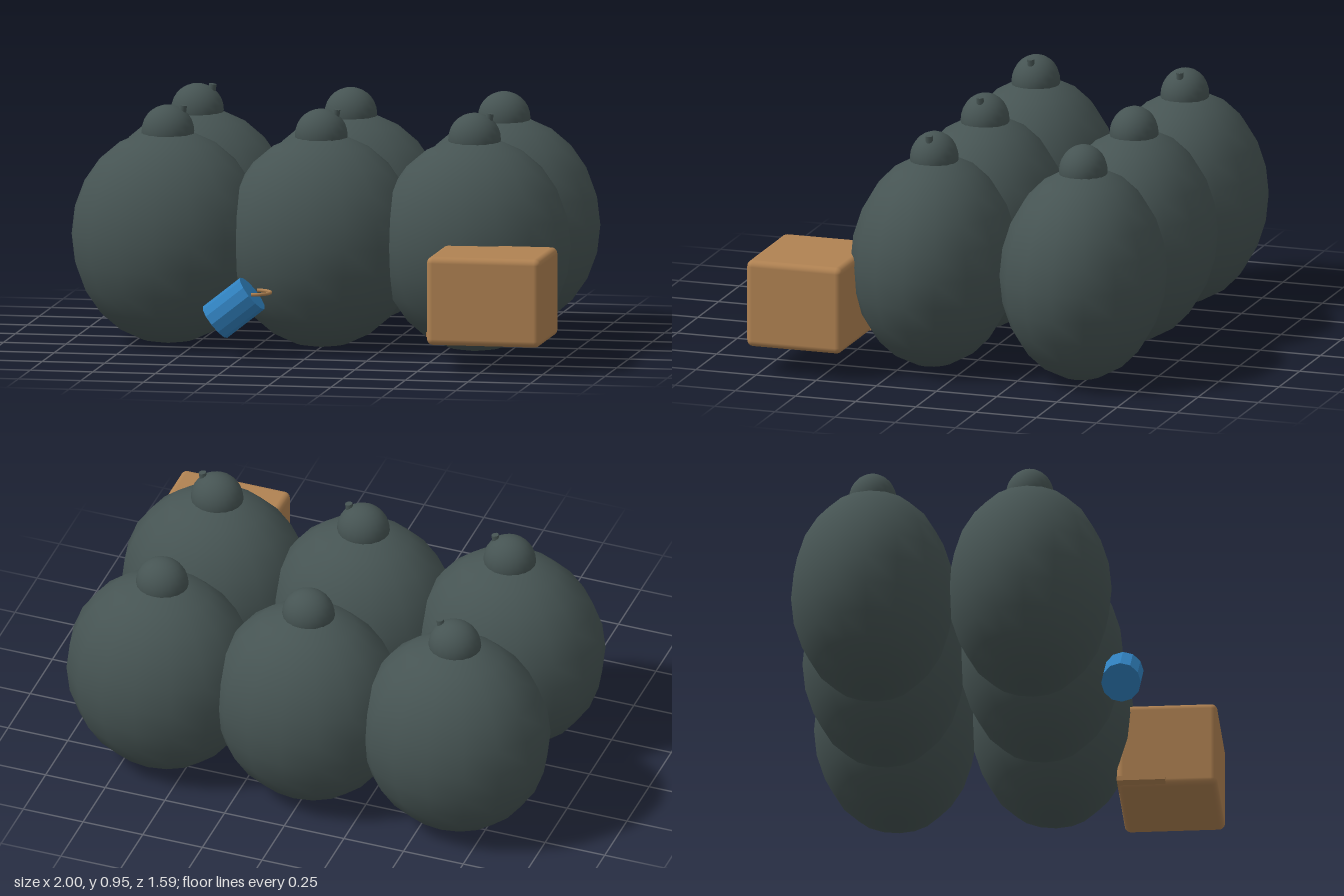
import * as THREE from 'three';
import { RoundedBoxGeometry } from 'three/addons/geometries/RoundedBoxGeometry.js';

const mat = (name, color, flatShading = false) => {
  const m = new THREE.MeshStandardMaterial({ color, flatShading });
  m.name = name;
  return m;
};

export function createModel() {
  const root = new THREE.Group();
  root.name = 'rubbishPile';
  const bagPlastic = mat('bagPlastic', 0x465453);
  const cardboard = mat('cardboard', 0xb08252);
  const canBlue = mat('canBlue', 0x3080bd, true);

  const add = (parent, name, geometry, material, x, y, z) => {
    const mesh = new THREE.Mesh(geometry, material);
    mesh.name = name;
    mesh.position.set(x, y, z);
    parent.add(mesh);
    return mesh;
  };

  // Six full bags in two rows, each with a gathered neck
  const bodyGeo = new THREE.SphereGeometry(1, 16, 12).scale(0.385, 0.425, 0.322);
  const neckGeo = new THREE.SphereGeometry(1, 20, 14).scale(0.105, 0.105, 0.095);
  const knotGeo = new THREE.CylinderGeometry(0.015, 0.015, 0.05, 10);
  for (const z of [0.143, -0.476]) {
    for (const x of [-0.613, 0, 0.613]) {
      const bag = new THREE.Group();
      bag.name = 'bag';
      bag.position.set(x, 0, z);
      root.add(bag);
      add(bag, 'bagBody', bodyGeo, bagPlastic, 0, 0.43, 0);
      add(bag, 'bagNeck', neckGeo, bagPlastic, 0, 0.845, 0);
      // Loose tie end on the front row and one rear bag
      if (z > 0 || x < 0) {
        const knot = add(bag, 'bagTie', knotGeo, bagPlastic, 0.058, 0.924, 0);
        knot.rotation.z = -0.15;
      }
    }
  }

  // Cardboard box with a flap poking out at its base
  add(root, 'box', new RoundedBoxGeometry(0.455, 0.35, 0.395, 3, 0.025), cardboard, 0.77, 0.29, 0.597);
  add(root, 'boxFlap', new THREE.BoxGeometry(0.12, 0.018, 0.19), cardboard, 0.565, 0.13, 0.497);

  // Tilted can with a thin wire handle
  const can = add(root, 'can', new THREE.CylinderGeometry(0.078, 0.078, 0.19, 12), canBlue, -0.285, 0.2, 0.483);
  can.rotation.z = -Math.PI / 2 + 0.67;
  const handle = add(root, 'canHandle', new THREE.TorusGeometry(0.064, 0.007, 8, 16, Math.PI), cardboard, -0.203, 0.263, 0.483);
  handle.rotation.set(Math.PI / 2, 0, -Math.PI / 2);

  return root;
}
